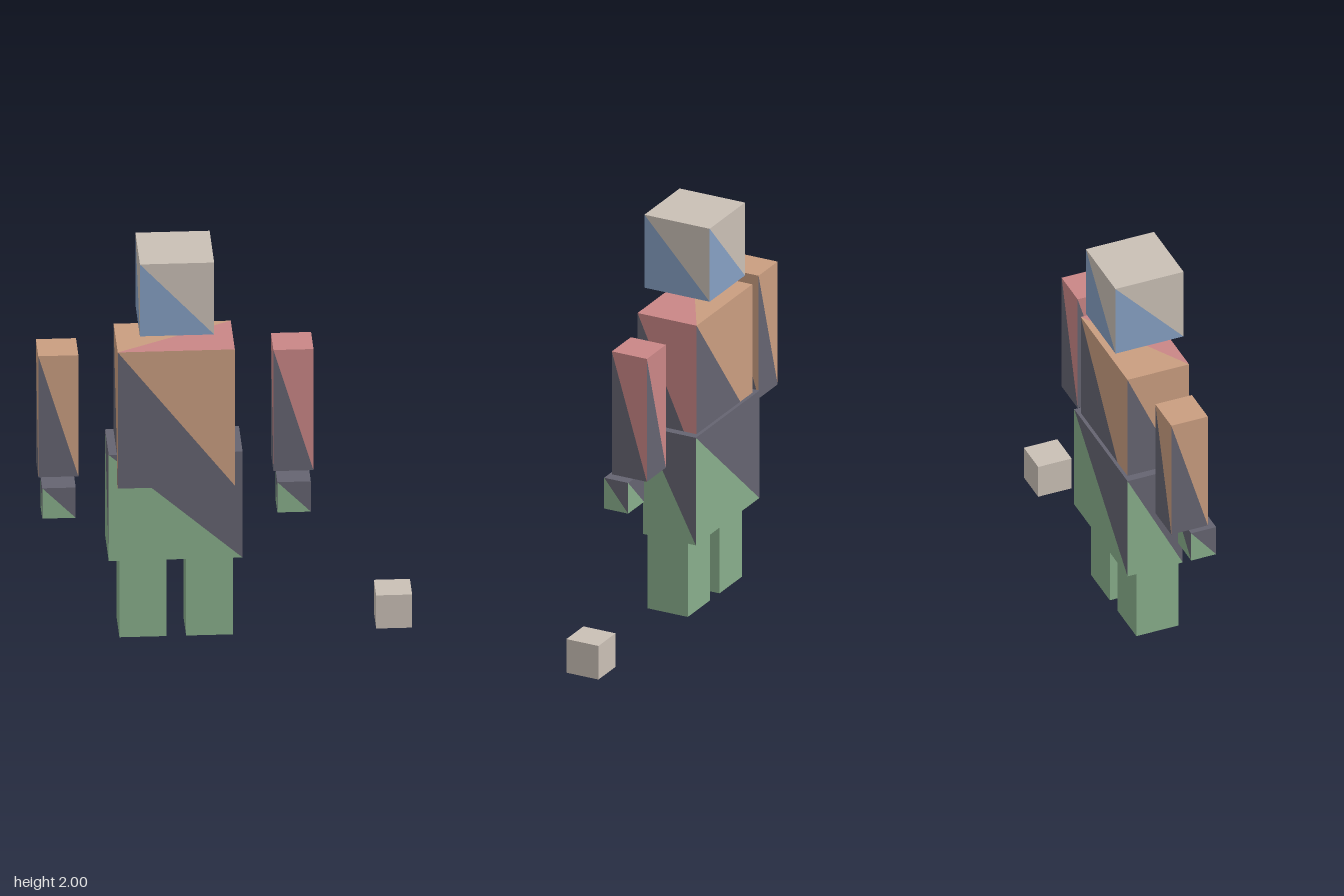
import * as THREE from 'three';

const mat = (name, color) => {
  const m = new THREE.MeshStandardMaterial({ color });
  m.name = name;
  return m;
};

export function createModel() {
  const beige = mat('beige', 0xc9bfb5);
  const blue = mat('blue', 0x859fc2);
  const orange = mat('orange', 0xc99d80);
  const slate = mat('slate', 0x656471);
  const pink = mat('pink', 0xc98686);
  const green = mat('green', 0x88ae8b);

  const model = new THREE.Group();
  model.name = 'blockFigure';

  // Box from [min, max] ranges. Each side is cut from top left to bottom right:
  // the lower triangle takes `low`, the upper one `up`.
  // `rightUp` and `topFront` override the +x upper triangle and the front half of the top.
  function block(name, [x0, x1], [y0, y1], [z0, z1], low, up = low, rightUp = up, topFront = up) {
    const geo = new THREE.BoxGeometry(x1 - x0, y1 - y0, z1 - z0);
    const index = [];
    const materials = [...new Set([low, up, rightUp, topFront])];
    geo.clearGroups();
    const tri = (a, b, c, material) => {
      geo.addGroup(index.length, 3, materials.indexOf(material));
      index.push(a, b, c);
    };
    // Faces run +x, -x, +y, -y, +z, -z with corners TL, TR, BL, BR
    for (let f = 0; f < 6; f++) {
      const tl = f * 4, tr = tl + 1, bl = tl + 2, br = tl + 3;
      if (f === 2) {
        tri(tl, bl, tr, up);
        tri(bl, br, tr, topFront);
      } else {
        tri(tl, bl, br, low);
        tri(tl, br, tr, f === 3 ? low : f === 0 ? rightUp : up);
      }
    }
    geo.setIndex(index);
    const mesh = new THREE.Mesh(geo, materials);
    mesh.name = name;
    mesh.position.set((x0 + x1) / 2, (y0 + y1) / 2, (z0 + z1) / 2);
    model.add(mesh);
  }

  // Head and body
  block('head', [-0.415, -0.06], [1.62, 2], [-0.177, 0.177], blue, beige);
  block('torso', [-0.52, 0.04], [0.81, 1.53], [-0.16, 0.16], slate, orange, pink, pink);
  block('hips', [-0.56, 0.08], [0.405, 0.965], [-0.177, 0.11], green, slate);

  // Arms and hands
  const sides = [['right', -0.8, orange], ['left', 0.324, pink]];
  for (const [side, x, sleeve] of sides) {
    block(side + 'Arm', [x - 0.096, x + 0.096], [0.85, 1.49], [-0.095, 0.095], slate, sleeve);
    block(side + 'Hand', [x - 0.08, x + 0.08], [0.655, 0.815], [0.015, 0.145], green, slate);
  }

  // Legs, reaching up inside the hips
  for (const [side, x] of [['right', -0.397], ['left', -0.078]]) {
    block(side + 'Leg', [x - 0.112, x + 0.112], [0, 0.72], [-0.109, 0.109], green);
  }

  // Loose cube on the ground
  block('looseCube', [0.72, 0.892], [0, 0.175], [-0.087, 0.087], beige);

  return model;
}
